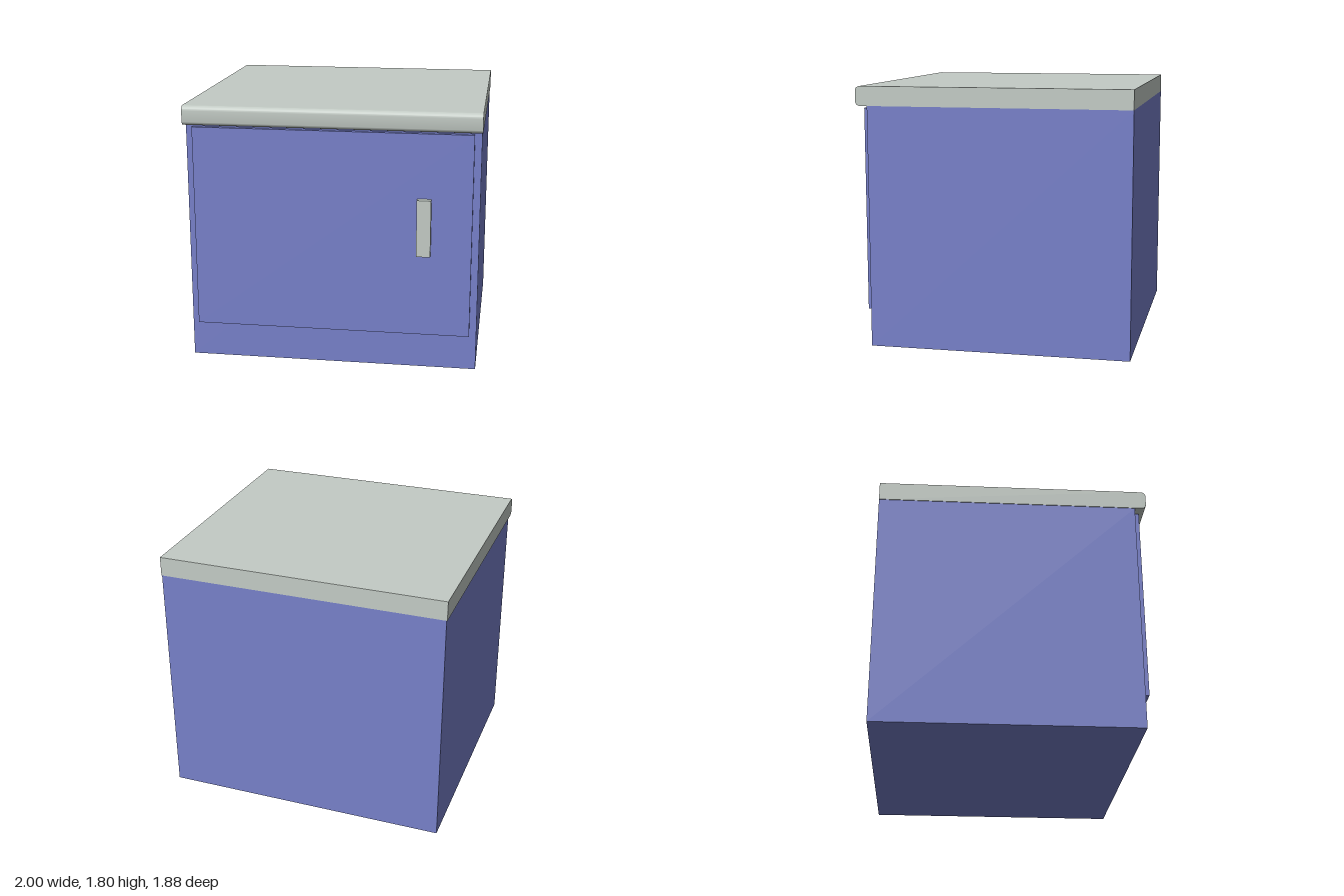
import * as THREE from 'three';
import { toCreasedNormals } from 'three/addons/utils/BufferGeometryUtils.js';

const BLUE = new THREE.MeshStandardMaterial({ color: 0x7780c9 });
const STONE = new THREE.MeshStandardMaterial({ color: 0xc3cbc5 });

// Box given by its minimum and maximum corners
function box(name, material, min, max) {
  const size = max.map((v, i) => v - min[i]);
  const mesh = new THREE.Mesh(new THREE.BoxGeometry(...size), material);
  mesh.position.set(...max.map((v, i) => (v + min[i]) / 2));
  mesh.name = name;
  return mesh;
}

// Slab with a rounded front edge: side profile (z, y) extruded along x
function countertop() {
  const back = -0.94, front = 0.94, lip = 0.86, bottom = 1.667, top = 1.8, r = 0.032;
  const profile = new THREE.Shape();
  profile.moveTo(back, bottom);
  profile.lineTo(lip, bottom);
  profile.lineTo(front - r, bottom);
  profile.absarc(front - r, bottom + r, r, -Math.PI / 2, 0, false);
  profile.absarc(front - r, top - r, r, 0, Math.PI / 2, false);
  profile.lineTo(lip, top);
  profile.lineTo(back, top);
  profile.closePath();

  const geometry = new THREE.ExtrudeGeometry(profile, { depth: 2, bevelEnabled: false, curveSegments: 6 });
  geometry.translate(0, 0, -1).rotateY(-Math.PI / 2);
  const mesh = new THREE.Mesh(toCreasedNormals(geometry, Math.PI / 4), STONE);
  mesh.name = 'countertop';
  return mesh;
}

export function createModel() {
  const cabinet = new THREE.Group();
  cabinet.name = 'cabinet';
  cabinet.add(
    box('body', BLUE, [-0.995, 0, -0.94], [0.995, 1.667, 0.86]),
    box('door', BLUE, [-0.947, 0.25, 0.86], [0.947, 1.65, 0.895]),
    box('handle', STONE, [0.58, 0.82, 0.895], [0.675, 1.21, 0.94]),
    countertop()
  );
  return cabinet;
}
